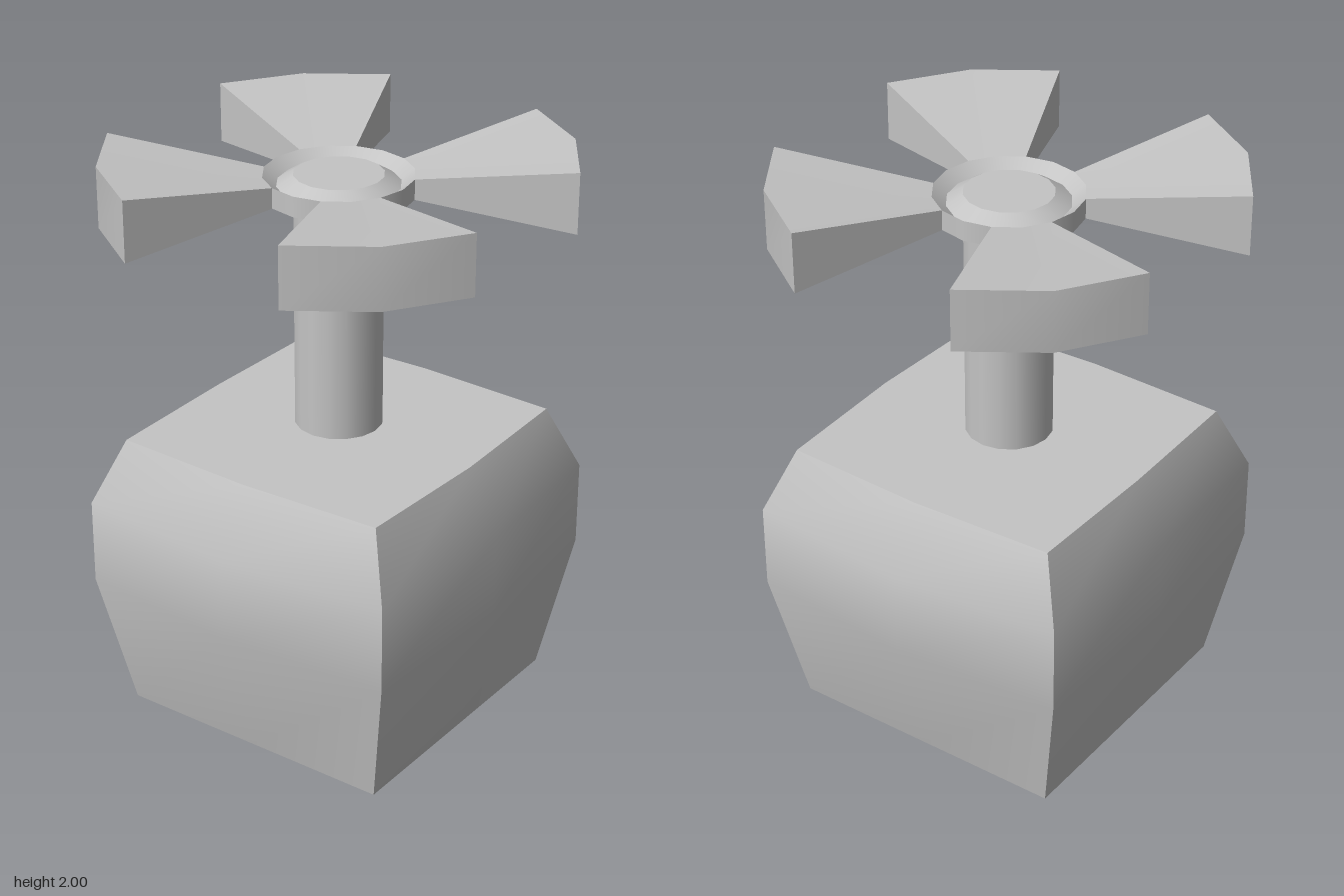
import * as THREE from 'three';
import { mergeGeometries } from 'three/addons/utils/BufferGeometryUtils.js';

const grey = new THREE.MeshStandardMaterial({ color: 0xc4c4c4, side: THREE.DoubleSide });
grey.name = 'plain grey';

// Smooth surface through a grid of points; separate patches keep their shared edges sharp
function patch(rows) {
  const n = rows[0].length, index = [];
  for (let i = 0; i < rows.length - 1; i++) {
    for (let j = 0; j < n - 1; j++) {
      const a = i * n + j, b = a + 1, d = a + n, c = d + 1;
      index.push(a, b, c, a, c, d);
    }
  }
  const g = new THREE.BufferGeometry();
  g.setAttribute('position', new THREE.Float32BufferAttribute(rows.flat(2), 3));
  g.setIndex(index);
  g.computeVertexNormals();
  return g;
}

// Turned part with 16 sides and a sharp edge at every profile point
function turned(profile) {
  const bands = [];
  for (let i = 0; i < profile.length - 1; i++) {
    const pts = [profile[i], profile[i + 1]].map(([r, y]) => new THREE.Vector2(r, y));
    bands.push(new THREE.LatheGeometry(pts, 16));
  }
  return mergeGeometries(bands);
}

function add(parent, name, geometry) {
  const mesh = new THREE.Mesh(geometry, grey);
  mesh.name = name;
  parent.add(mesh);
  return mesh;
}

export function createModel() {
  const model = new THREE.Group();
  model.name = 'valve';

  // Body: four bulging walls and a lid, open underneath
  const body = new THREE.Group();
  body.name = 'body';
  model.add(body);
  const heights = [0, 0.49, 0.79, 1.02];
  const corner = [0.51, 0.6, 0.6, 0.51];
  const bulge = [0.64, 0.65, 0.62, 0.65];   // front, left, back, right
  const lip = [0.53, 0.53, 0.52, 0.53];
  ['front', 'left', 'back', 'right'].forEach((side, k) => {
    const middle = [0.51, bulge[k], bulge[k], lip[k]];
    const rows = heights.map((y, i) => [
      [-corner[i], y, corner[i]], [0, y, middle[i]], [corner[i], y, corner[i]],
    ]);
    add(body, side + 'Wall', patch(rows)).rotation.y = k * Math.PI / 2;
  });
  const c = 0.51, y = 1.02;
  add(body, 'lid', patch([
    [[-c, y, c], [0, y, lip[0]], [c, y, c]],
    [[-lip[3], y, 0], [0, y, 0], [lip[1], y, 0]],
    [[-c, y, -c], [0, y, -lip[2]], [c, y, -c]],
  ]));

  // Stem with a flared head, and the ring that meets the flare
  add(model, 'stem', turned([
    [0, 1.04], [0.15, 1.04], [0.15, 1.86], [0.205, 1.895], [0.15, 1.93], [0, 1.93],
  ]));
  add(model, 'hubRing', turned([
    [0.25, 1.86], [0.25, 1.93], [0.205, 1.895], [0.25, 1.86],
  ]));

  // Four wedge blades growing thicker outwards
  const angles = [1, 2, 3].map((i) => i * Math.PI / 8);
  const arc = (r, h) => angles.map((a) => [r * Math.sin(a), h, r * Math.cos(a)]);
  const innerLow = arc(0.25, 1.86), innerHigh = arc(0.25, 1.93);
  const outerLow = arc(0.78, 1.79), outerHigh = arc(0.78, 2);
  const blade = mergeGeometries([
    patch([outerLow, outerHigh]),
    patch([outerHigh, innerHigh]),
    patch([innerLow, outerLow]),
    patch([[innerLow[0], outerLow[0]], [innerHigh[0], outerHigh[0]]]),
    patch([[outerLow[2], innerLow[2]], [outerHigh[2], innerHigh[2]]]),
  ]);
  const handle = new THREE.Group();
  handle.name = 'handle';
  model.add(handle);
  for (let k = 0; k < 4; k++) {
    add(handle, 'blade' + (k + 1), blade).rotation.y = k * Math.PI / 2;
  }
  return model;
}
